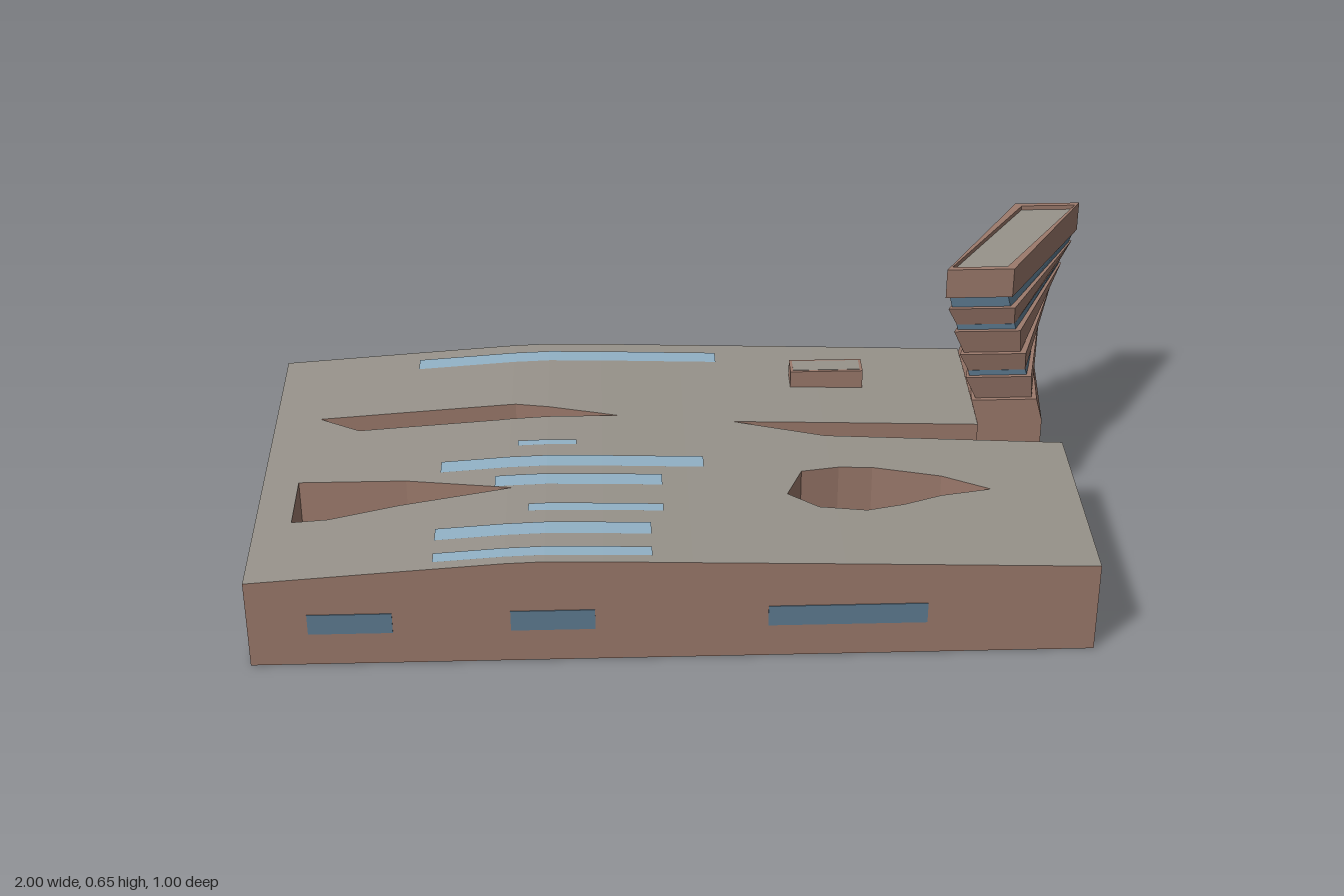
import * as THREE from 'three';

const mat = (color) => new THREE.MeshStandardMaterial({ color, flatShading: true, side: THREE.DoubleSide });
const BRICK = mat(0x9c7a6c), ROOF = mat(0x98938b), GLASS = mat(0x5f7d93), SKY = mat(0x92b2c6);

// Roof height along x
const PROFILE = [[-1, 0.222], [-0.68, 0.245], [-0.42, 0.263], [-0.33, 0.266], [-0.2, 0.263], [0, 0.256], [0.34, 0.245], [0.92, 0.225]];
const BREAKS = PROFILE.map((p) => p[0]);
function roofY(x) {
  let i = 0;
  while (i < PROFILE.length - 2 && x > PROFILE[i + 1][0]) i++;
  const [a, b] = [PROFILE[i], PROFILE[i + 1]];
  return a[1] + ((b[1] - a[1]) * (x - a[0])) / (b[0] - a[0]);
}

// Plan outlines as [x, z]
const OUTLINE = [[-1, -0.5], [0.72, -0.5], [0.72, -0.117], [0.12, -0.117], [0.34, -0.055], [0.915, -0.036], [0.915, 0.5], [-1, 0.5]];
const WELLS = [
  [[-0.89, -0.2], [-0.41, -0.2], [-0.16, -0.14], [-0.45, -0.13], [-0.79, -0.13]],
  [[-0.915, 0.09], [-0.66, 0.12], [-0.41, 0.185], [-0.67, 0.225], [-0.83, 0.262], [-0.915, 0.262]],
  [[0.27, 0.11], [0.36, 0.09], [0.44, 0.09], [0.6, 0.125], [0.71, 0.18], [0.59, 0.21], [0.5, 0.25], [0.41, 0.277], [0.3, 0.265], [0.23, 0.21]],
];

function geometryFrom(positions) {
  const g = new THREE.BufferGeometry();
  g.setAttribute('position', new THREE.Float32BufferAttribute(positions, 3));
  g.computeVertexNormals();
  return g;
}

function add(parent, name, geometry, material) {
  const mesh = new THREE.Mesh(geometry, material);
  mesh.name = name;
  parent.add(mesh);
  return mesh;
}

function addBox(parent, name, material, x0, x1, y0, y1, z0, z1) {
  const mesh = add(parent, name, new THREE.BoxGeometry(x1 - x0, y1 - y0, z1 - z0), material);
  mesh.position.set((x0 + x1) / 2, (y0 + y1) / 2, (z0 + z1) / 2);
}

// Keeps the part of a polygon on one side of the line x = limit
function clip(poly, limit, side) {
  const out = [];
  poly.forEach((a, i) => {
    const b = poly[(i + 1) % poly.length];
    const da = (a[0] - limit) * side, db = (b[0] - limit) * side;
    if (da >= 0) out.push(a);
    if (da * db < 0) out.push([limit, a[1] + ((b[1] - a[1]) * da) / (da - db)]);
  });
  return out;
}

// Flat plan draped over the roof profile
function drape(outline, holes = [], lift = 0) {
  const vec = (l) => l.map(([x, z]) => new THREE.Vector2(x, z));
  const points = [outline, ...holes].flat();
  const pos = [];
  for (const face of THREE.ShapeUtils.triangulateShape(vec(outline), holes.map(vec))) {
    let tri = face.map((i) => points[i]);
    const [a, b, c] = tri;
    if ((b[0] - a[0]) * (c[1] - a[1]) - (b[1] - a[1]) * (c[0] - a[0]) > 0) tri = [a, c, b];
    for (let k = 0; k < BREAKS.length - 1; k++) {
      const part = clip(clip(tri, BREAKS[k], 1), BREAKS[k + 1], -1);
      for (let j = 1; j < part.length - 1; j++) {
        for (const [x, z] of [part[0], part[j], part[j + 1]]) pos.push(x, roofY(x) + lift, z);
      }
    }
  }
  return geometryFrom(pos);
}

// Walls from the ground up to the roof along a closed plan loop
function walls(loop) {
  const pos = [];
  loop.forEach((a, i) => {
    const b = loop[(i + 1) % loop.length];
    const cuts = [0, 1];
    for (const x of BREAKS) {
      const t = (x - a[0]) / (b[0] - a[0]);
      if (t > 0 && t < 1) cuts.push(t);
    }
    cuts.sort((p, q) => p - q);
    for (let k = 0; k < cuts.length - 1; k++) {
      const [p, q] = [cuts[k], cuts[k + 1]].map((t) => [a[0] + (b[0] - a[0]) * t, a[1] + (b[1] - a[1]) * t]);
      const hp = roofY(p[0]), hq = roofY(q[0]);
      pos.push(p[0], 0, p[1], q[0], hq, q[1], q[0], 0, q[1], p[0], 0, p[1], p[0], hp, p[1], q[0], hq, q[1]);
    }
  });
  return geometryFrom(pos);
}

// Tower plan at height y: a rectangle shearing into a parallelogram
function towerRing(y, inset = 0) {
  const t = THREE.MathUtils.clamp((y - 0.23) / 0.343, 0, 1);
  const f = 0.72 - 0.095 * t, b = 0.72 + 0.12 * t, w = 0.16;
  const zf = -0.135 - inset, zb = -0.49 + inset;
  return [[f + inset, y, zf], [f + w - inset, y, zf], [b + w - inset, y, zb], [b + inset, y, zb]];
}

// Joins four-cornered rings, with end caps
function loft(rings, capTop = true) {
  const pos = [];
  const tri = (...p) => pos.push(...p.flat());
  for (let r = 0; r < rings.length - 1; r++) {
    for (let i = 0; i < 4; i++) {
      const j = (i + 1) % 4, [lo, hi] = [rings[r], rings[r + 1]];
      tri(lo[i], lo[j], hi[j]);
      tri(lo[i], hi[j], hi[i]);
    }
  }
  const s = rings[0], e = rings[rings.length - 1];
  tri(s[0], s[2], s[1]);
  tri(s[0], s[3], s[2]);
  if (capTop) {
    tri(e[0], e[1], e[2]);
    tri(e[0], e[2], e[3]);
  }
  return geometryFrom(pos);
}

export function createModel() {
  const model = new THREE.Group();
  model.name = 'building';

  // Main hall with open light wells
  const hall = new THREE.Group();
  hall.name = 'hall';
  model.add(hall);
  add(hall, 'roof', drape(OUTLINE, WELLS), ROOF);
  add(hall, 'outerWalls', walls(OUTLINE), BRICK);
  WELLS.forEach((w) => add(hall, 'lightWell', walls([...w].reverse()), BRICK));

  // Skylight strips
  for (const [x0, x1, z0, z1] of [
    [-0.66, 0.09, -0.457, -0.41], [-0.4, -0.26, -0.022, 0], [-0.58, 0.04, 0.05, 0.097], [-0.45, -0.06, 0.132, 0.178],
    [-0.37, -0.06, 0.26, 0.29], [-0.58, -0.09, 0.34, 0.387], [-0.58, -0.09, 0.44, 0.475],
  ]) add(hall, 'skylight', drape([[x0, z0], [x1, z0], [x1, z1], [x0, z1]], [], 0.002), SKY);

  // Wall windows
  for (const [x0, x1] of [[-0.865, -0.675], [-0.41, -0.22], [0.17, 0.53]])
    addBox(hall, 'frontWindow', GLASS, x0, x1, 0.083, 0.135, 0.496, 0.502);
  addBox(hall, 'sideWindow', GLASS, 0.911, 0.917, 0.083, 0.135, 0.08, 0.415);

  // Rooftop hut
  addBox(hall, 'roofHut', BRICK, 0.272, 0.452, 0.235, 0.29, -0.35, -0.29);
  addBox(hall, 'roofHutTop', ROOF, 0.279, 0.445, 0.285, 0.291, -0.343, -0.297);

  // Twisting tower: base, flared bands, glazing and parapet
  const tower = new THREE.Group();
  tower.name = 'tower';
  model.add(tower);
  add(tower, 'towerBase', loft([towerRing(0), towerRing(0.23), towerRing(0.29)]), BRICK);
  for (const [y0, y1] of [[0.29, 0.354], [0.366, 0.418], [0.418, 0.481], [0.493, 0.543]])
    add(tower, 'towerBand', loft([towerRing(y0, 0.011), towerRing(y1)]), BRICK);
  for (const [y0, y1] of [[0.352, 0.368], [0.479, 0.495], [0.54, 0.575]])
    add(tower, 'towerGlazing', loft([towerRing(y0, 0.01), towerRing(y1, 0.01)]), GLASS);
  add(tower, 'towerParapet', loft([towerRing(0.573), towerRing(0.648), towerRing(0.648, 0.014), towerRing(0.636, 0.014)], false), BRICK);
  add(tower, 'towerRoof', loft([towerRing(0.63, 0.014), towerRing(0.637, 0.014)]), ROOF);

  return model;
}
